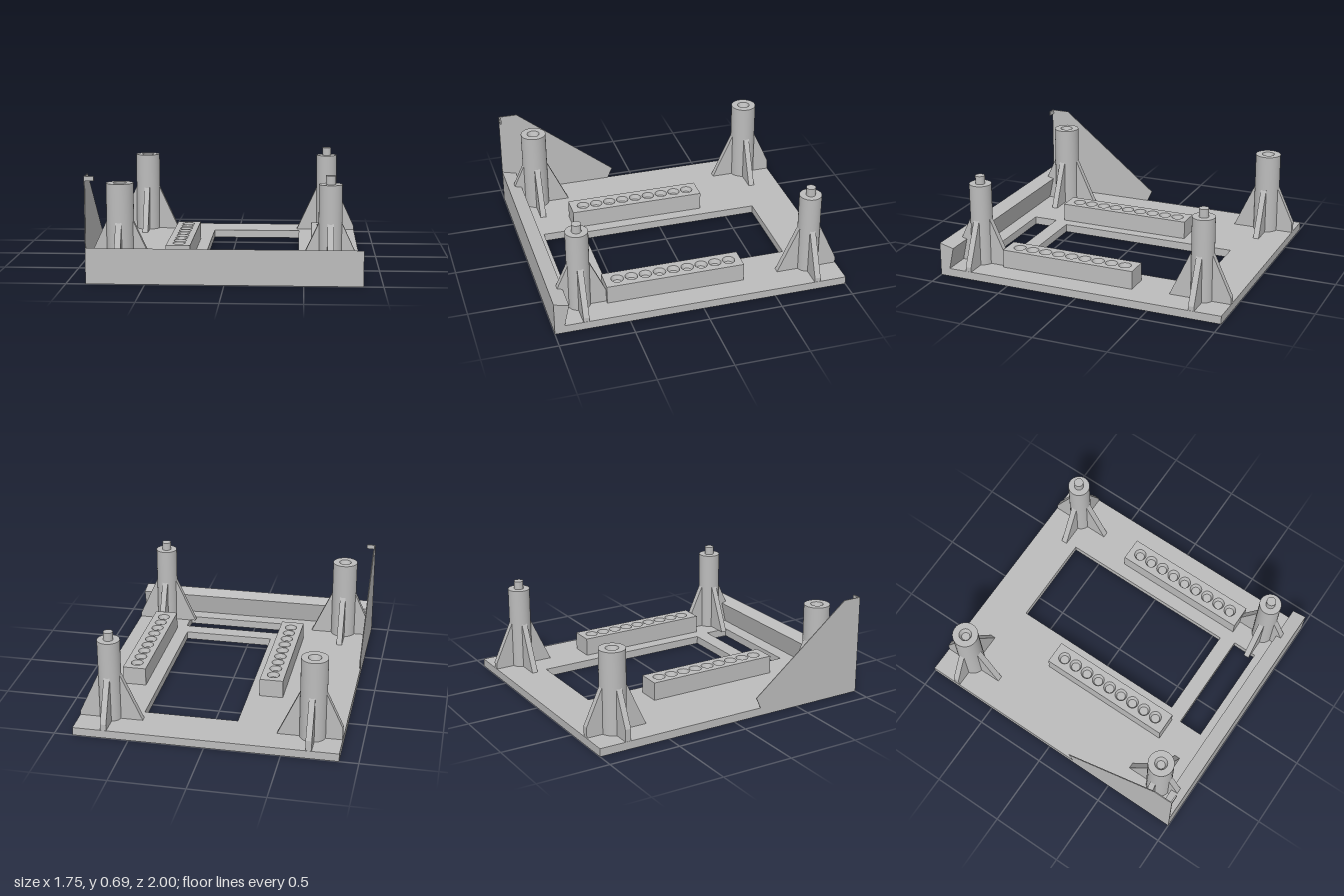
import * as THREE from 'three';
import { toCreasedNormals } from 'three/addons/utils/BufferGeometryUtils.js';

const BASE_TOP = 0.055, HALF_X = 0.875, POST_TOP = 0.617;

const polygon = (pts) => new THREE.Shape(pts.map(([x, y]) => new THREE.Vector2(x, y)));

// Extrudes a shape by depth along +z of its own plane
const extrude = (shape, depth) =>
  new THREE.ExtrudeGeometry(shape, { depth, bevelEnabled: false, curveSegments: 16 });

// Plan outline drawn as (x, -z), raised from y0 to y1
const slab = (shape, y0, y1) => extrude(shape, y1 - y0).rotateX(-Math.PI / 2).translate(0, y0, 0);

// Profile drawn as (z, y), spanning x0 to x1
const sideProfile = (pts, x0, x1) =>
  extrude(polygon(pts), x1 - x0).rotateY(-Math.PI / 2).translate(x1, 0, 0);

const lathe = (pts) =>
  toCreasedNormals(new THREE.LatheGeometry(pts.map(([r, y]) => new THREE.Vector2(r, y)), 32), 0.6);

// Rectangle in plan, given by its x and z limits
const rect = (x0, x1, z0, z1) => [[x0, -z1], [x1, -z1], [x1, -z0], [x0, -z0]];

export function createModel() {
  const model = new THREE.Group();
  const grey = new THREE.MeshStandardMaterial({ color: 0xbcbcbc });
  grey.name = 'light grey';

  const add = (name, geometry, parent = model) => {
    const mesh = new THREE.Mesh(geometry, grey);
    mesh.name = name;
    parent.add(mesh);
    return mesh;
  };

  // Base plate with two rectangular openings
  const plan = polygon(rect(-HALF_X, HALF_X, -1, 1));
  plan.holes.push(polygon(rect(-0.167, 0.463, -0.704, 0.56)));
  plan.holes.push(polygon(rect(-0.22, 0.49, 0.667, 0.835)));
  add('basePlate', slab(plan, 0, BASE_TOP));

  // Front lip, leaning inward with a sloping top
  add('frontLip', sideProfile([[1, BASE_TOP], [1, 0.23], [0.9, 0.205], [0.933, BASE_TOP]], -HALF_X, HALF_X));

  // Thin side plate and its small front tab
  add('sidePlate', sideProfile(
    [[1, BASE_TOP], [1, 0.685], [0.87, 0.685], [0.17, 0.13], [0.205, BASE_TOP]], -HALF_X, -HALF_X + 0.006));
  add('sidePlateTab', new THREE.BoxGeometry(0.062, 0.03, 0.01).translate(-0.844, 0.67, 0.995));

  // Rails with a row of tapered sockets
  const railTop = 0.18;
  for (const [name, x] of [['rightRail', -0.325], ['leftRail', 0.633]]) {
    const rail = new THREE.Group();
    rail.name = name;
    model.add(rail);
    const outline = polygon(rect(x - 0.08, x + 0.08, -0.33, 0.612));
    for (let i = 0; i < 9; i++) {
      const z = -0.247 + i * 0.0962;
      const hole = new THREE.Path();
      hole.absarc(x, -z, 0.042, 0, Math.PI * 2, true);
      outline.holes.push(hole);
      add('railSocket', lathe([[0.042, railTop], [0.03, railTop - 0.03], [0, railTop - 0.03]]), rail)
        .position.set(x, 0, z);
    }
    add('railBody', slab(outline, BASE_TOP, railTop), rail);
  }

  // Posts: sockets on the model's right, pins on its left, four fins each
  for (const x of [-0.678, 0.667]) {
    for (const z of [-0.798, 0.79]) {
      const socket = x < 0;
      const r = socket ? 0.088 : 0.075;
      const post = new THREE.Group();
      post.name = socket ? 'socketPost' : 'pinPost';
      post.position.set(x, 0, z);
      model.add(post);

      const end = socket
        ? [[0.043, POST_TOP], [0.028, POST_TOP - 0.035], [0, POST_TOP - 0.035]]
        : [[0.032, POST_TOP], [0.032, 0.673], [0, 0.673]];
      add('postBody', lathe([[r, BASE_TOP], [r, POST_TOP], ...end]), post);

      // Fins stop at the plate edge where they would overhang
      const room = [HALF_X - x, 1 + z, HALF_X + x, 1 - z];
      const finTop = 0.376, reach = r + 0.144;
      room.forEach((limit, i) => {
        const out = Math.min(reach, limit - 0.002);
        const yOut = finTop - (out - r) * (finTop - BASE_TOP) / (reach - r);
        const pts = [[0, BASE_TOP], [out, BASE_TOP]];
        if (out < reach) pts.push([out, yOut]);
        pts.push([r - 0.004, finTop], [0, finTop]);
        add('postFin', extrude(polygon(pts), 0.04).translate(0, 0, -0.02), post).rotation.y = i * Math.PI / 2;
      });
    }
  }
  return model;
}
